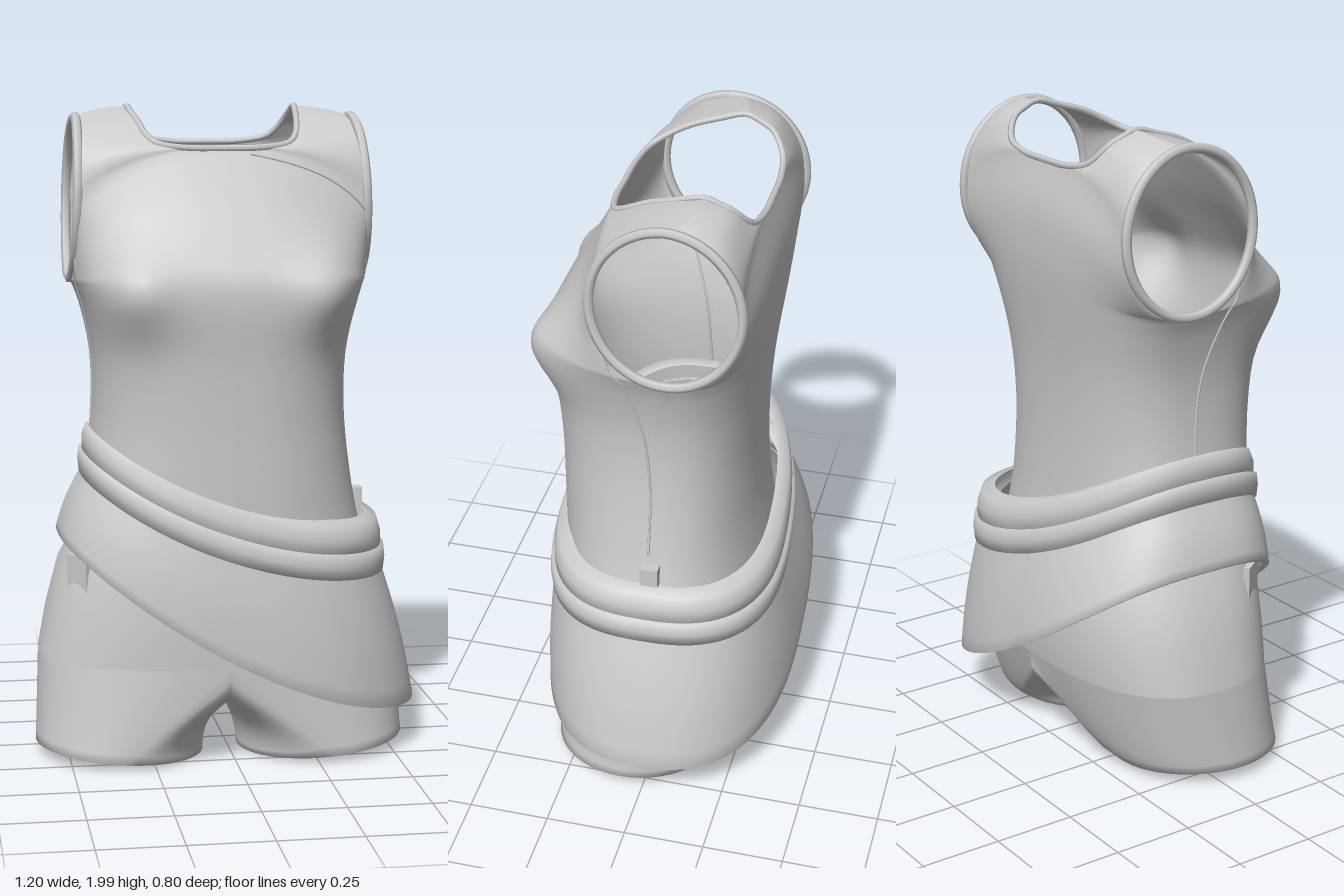
import * as THREE from 'three';

const V = (x, y, z) => new THREE.Vector3(x, y, z);
const lerp = THREE.MathUtils.lerp;
const fabric = new THREE.MeshStandardMaterial({ color: 0xcccccc, side: THREE.DoubleSide });
fabric.name = 'grey fabric';

// Surface through rows of points: rows go up, points run to the right seen from outside
function loft(rows, closed) {
  const n = rows[0].length, index = [];
  for (let r = 0; r < rows.length - 1; r++) {
    for (let c = 0; c < (closed ? n : n - 1); c++) {
      const d = (c + 1) % n, a = r * n, b = a + n;
      index.push(a + c, a + d, b + d, a + c, b + d, b + c);
    }
  }
  const g = new THREE.BufferGeometry().setFromPoints(rows.flat());
  g.setIndex(index);
  g.computeVertexNormals();
  return g;
}

function add(group, name, geometry, mirrored = false) {
  const m = new THREE.Mesh(geometry, fabric);
  m.name = name;
  if (mirrored) m.scale.x = -1;
  group.add(m);
  return m;
}

function pair(group, name, geometry) {
  add(group, name + 'Left', geometry);
  add(group, name + 'Right', geometry, true);
}

const spline = (list, closed = false) => new THREE.CatmullRomCurve3(list, closed);
const tube = (points, radius, closed = false) =>
  new THREE.TubeGeometry(spline(points, closed), points.length * 3, radius, 6, closed);

const pw = (v, e) => Math.sign(v) * Math.pow(Math.abs(v), e);

// Rounded-box ring; y may depend on x, and the right half may be boxier than the left
function ring(cx, rx, zFront, zBack, nLeft, yOf, nRight = nLeft) {
  const cz = (zFront + zBack) / 2, rz = (zFront - zBack) / 2, pts = [];
  for (let i = 0; i < 80; i++) {
    const a = (i / 80) * Math.PI * 2, e = 2 / (i <= 40 ? nLeft : nRight);
    const x = cx + rx * pw(Math.sin(a), e);
    pts.push(V(x, yOf(x), cz + rz * pw(Math.cos(a), e)));
  }
  return pts;
}

// Side edge of the top: seam up to t = 5, then half of the oval armhole up to the shoulder at t = 11
const seamLine = spline([V(0.455, 0.65, 0.01), V(0.418, 0.83, 0.01), V(0.39, 1.05, 0.01),
  V(0.39, 1.25, 0), V(0.42, 1.4, -0.03), V(0.447, 1.47, -0.05)]);
function sidePoint(t, dir) {
  if (t <= 5) return seamLine.getPoint(t / 5);
  const a = ((t - 5) / 6) * Math.PI;
  return V(lerp(0.449, 0.424, (t - 5) / 6), 1.715 - 0.245 * Math.cos(a), -0.05 + dir * 0.222 * Math.sin(a));
}

// Half panel from the middle and neckline (s = 0) to the side edge (s = 1)
// mid: [x, y, z, roundness] per step of t, the neckline starting at t = 8
function panel(mid, dir, bust) {
  const pts = mid.map(k => V(k[0], k[1], k[2]));
  const middle = spline(pts.slice(0, 9));
  const neck = spline([pts[9].clone().setX(-pts[9].x), ...pts.slice(8)]);
  return (t, s) => {
    const S = sidePoint(t, dir), E = t <= 8 ? middle.getPoint(t / 8) : neck.getPoint((t - 7) / 4);
    const i = Math.min(Math.floor(t), 10), n = lerp(mid[i][3], mid[i + 1][3], t - i);
    const a = s * Math.PI / 2, c = Math.max(0, Math.cos(a));
    const p = V(
      lerp(E.x, S.x, Math.pow(Math.sin(a), 2 / n)),
      lerp(E.y, S.y, s * s * (3 - 2 * s)),
      lerp(S.z, E.z, Math.pow(c, 2 / n)));
    p.z += bust * Math.min(1, 2 * c) * Math.exp(-(((p.x - 0.3) / 0.11) ** 2) - (((p.y - 1.45) / 0.13) ** 2));
    return p;
  };
}

const frontMid = [[0, 0.65, 0.35, 2.4], [0, 0.83, 0.357, 2.4], [0, 1.05, 0.36, 2.5], [0, 1.25, 0.37, 2.7],
  [0, 1.42, 0.385, 3], [0, 1.5, 0.375, 3], [0, 1.6, 0.325, 2.7], [0, 1.73, 0.25, 2.5],
  [0, 1.87, 0.18, 2.4], [0.2, 1.885, 0.155, 2.2], [0.242, 1.945, 0.04, 2], [0.26, 1.99, -0.12, 2]];
const backMid = [[0, 0.65, -0.27, 2.4], [0, 0.83, -0.25, 2.4], [0, 1.05, -0.245, 2.5], [0, 1.25, -0.255, 2.7],
  [0, 1.42, -0.275, 2.8], [0, 1.5, -0.285, 2.8], [0, 1.6, -0.293, 2.6], [0, 1.73, -0.291, 2.5],
  [0, 1.875, -0.26, 2.4], [0.2, 1.895, -0.245, 2.2], [0.25, 1.955, -0.2, 2], [0.26, 1.99, -0.12, 2]];

function buildTop(group) {
  const front = panel(frontMid, 1, 0.06), back = panel(backMid, -1, 0);
  const steps = 4, rows = 11 * steps, cols = 16;
  const sheet = (fn, flip) => loft(Array.from({ length: rows + 1 }, (_, r) =>
    Array.from({ length: cols + 1 }, (_, c) => fn(r / steps, flip ? 1 - c / cols : c / cols))));
  pair(group, 'topFront', sheet(front, false));
  pair(group, 'topBack', sheet(back, true));

  // Bound edges of the armholes and neckline
  const edge = (from, s) => {
    const pts = [];
    for (let t = from; t < 11; t += 0.5) pts.push(front(t, s));
    for (let t = 11; t >= from; t -= 0.5) pts.push(back(t, s));
    return pts;
  };
  pair(group, 'armholeTrim', tube(edge(5, 1).slice(0, -1), 0.015, true));
  pair(group, 'necklineTrim', tube(edge(8, 0), 0.01));

  // Raised seams
  const seam = list => tube(list.map(([t, s]) => front(t, s)), 0.004);
  pair(group, 'sideSeam', seam([[1, 1], [2, 1], [3, 0.98], [4, 0.93], [5, 0.88], [6, 0.92], [6.7, 1]]));
  add(group, 'yokeSeam', seam([[7.9, 0.08], [7.85, 0.25], [7.85, 0.45], [7.8, 0.65], [7.7, 0.85], [7.6, 1]]));
}

function buildShorts(group) {
  // Hips: y, half width, front z, back z
  const hips = [[0.32, 0.56, 0.34, -0.33], [0.45, 0.535, 0.345, -0.35], [0.6, 0.495, 0.34, -0.34], [0.72, 0.43, 0.33, -0.31]];
  add(group, 'shortsHips', loft(hips.map(([y, w, f, b]) => ring(0, w, f, b, 2.5, () => y)), true));

  // Each leg blends from half the hip ring plus the crotch arch to a round hem
  const N = 48, steps = 10;
  const legRow = fn => Array.from({ length: N }, (_, i) => {
    const a = (i / N) * Math.PI * 2;
    return fn(Math.sin(a), Math.cos(a));
  });
  const hem = (k, lift) => (s, c) => V(0.315 + 0.26 * k * s, 0.03 + 0.02 * s + lift, 0.07 + 0.26 * k * c);
  const top = (s, c) => s >= 0
    ? V(0.56 * pw(s, 0.8), 0.32, 0.005 + 0.335 * pw(c, 0.8))
    : V(0, 0.32 - 0.15 * pw(-s, 0.6), 0.005 + 0.335 * pw(c, 0.8));
  const rows = [legRow(hem(0.94, 0.025)), legRow(hem(0.94, 0))];
  for (let j = 0; j <= steps; j++) {
    const t = j / steps;
    // Inner legs stay upright and arch over late, the seat fills out early
    rows.push(legRow((s, c) => {
      const a = hem(1, 0)(s, c), b = top(s, c);
      const e = Math.pow(t, 1 + 1.2 * Math.max(0, -s) - 0.35 * Math.max(0, -c));
      return V(lerp(a.x, b.x, e), lerp(a.y, b.y, t), lerp(a.z, b.z, e));
    }));
  }
  pair(group, 'shortsLeg', loft(rows, true));

  // Small tab on the right hip
  const tab = add(group, 'hipTab', new THREE.BoxGeometry(0.09, 0.12, 0.02));
  tab.position.set(-0.445, 0.59, 0.185);
  tab.rotation.y = -0.95;
}

function buildSkirt(group) {
  // Slanted heights, rising towards the right hip
  const beltRise = x => 0.3 * Math.pow(Math.max(0, (0.49 - x) / 0.95), 2.1);
  const hemY = x => 0.15 + 0.54 * Math.pow(Math.max(0, (0.6 - x) / 1.12), 1.7);
  // The belt hugs the waist more closely where it sits higher
  const beltRing = (out, y) => ring(0.015, 0.46 + out, 0.37 + out, -0.35 - out, 2.6, x => y + beltRise(x)).map(p => {
    const rise = p.y - y;
    return V(p.x * (p.x < 0 ? 1 - 0.1 * rise : 1), p.y, p.z * (p.z < 0 ? 1 - 0.65 * rise : 1));
  });

  // Two stacked belt bands with bevelled edges
  const bands = {
    lowerBelt: [[-0.01, 0.57], [0.018, 0.572], [0.022, 0.61], [0.018, 0.648], [-0.01, 0.652]],
    upperBelt: [[-0.01, 0.645], [0.008, 0.65], [0.008, 0.69], [-0.005, 0.735], [-0.045, 0.745]]
  };
  for (const [name, profile] of Object.entries(bands)) {
    add(group, name, loft(profile.map(([o, y]) => beltRing(o, y)), true));
  }

  // Asymmetric overskirt with a turned hem
  const upper = beltRing(0.005, 0.6);
  const hemRing = (inset, lift) =>
    ring(0.04, 0.56 - inset, 0.4 - inset, inset - 0.4, 2.3, x => hemY(x) + lift, 2.8);
  const lower = hemRing(0, 0);
  const rows = [hemRing(0.02, 0.03), hemRing(0.014, 0)];
  for (let j = 0; j <= 8; j++) {
    const t = j / 8, bulge = 1 + 0.02 * Math.sin(Math.PI * t);
    rows.push(lower.map((p, i) => {
      const q = p.clone().lerp(upper[i], t);
      return V(q.x * bulge, q.y, q.z * bulge);
    }));
  }
  add(group, 'overskirt', loft(rows, true));

  // Belt clip on the left side
  const clip = add(group, 'beltClip', new THREE.BoxGeometry(0.035, 0.09, 0.055));
  clip.position.set(0.42, 0.76, 0);
}

export function createModel() {
  const model = new THREE.Group();
  model.name = 'outfit';
  const parts = { top: buildTop, shorts: buildShorts, skirt: buildSkirt };
  for (const [name, build] of Object.entries(parts)) {
    const g = new THREE.Group();
    g.name = name;
    build(g);
    if (name !== 'skirt') g.position.x = -0.023;
    model.add(g);
  }
  return model;
}
